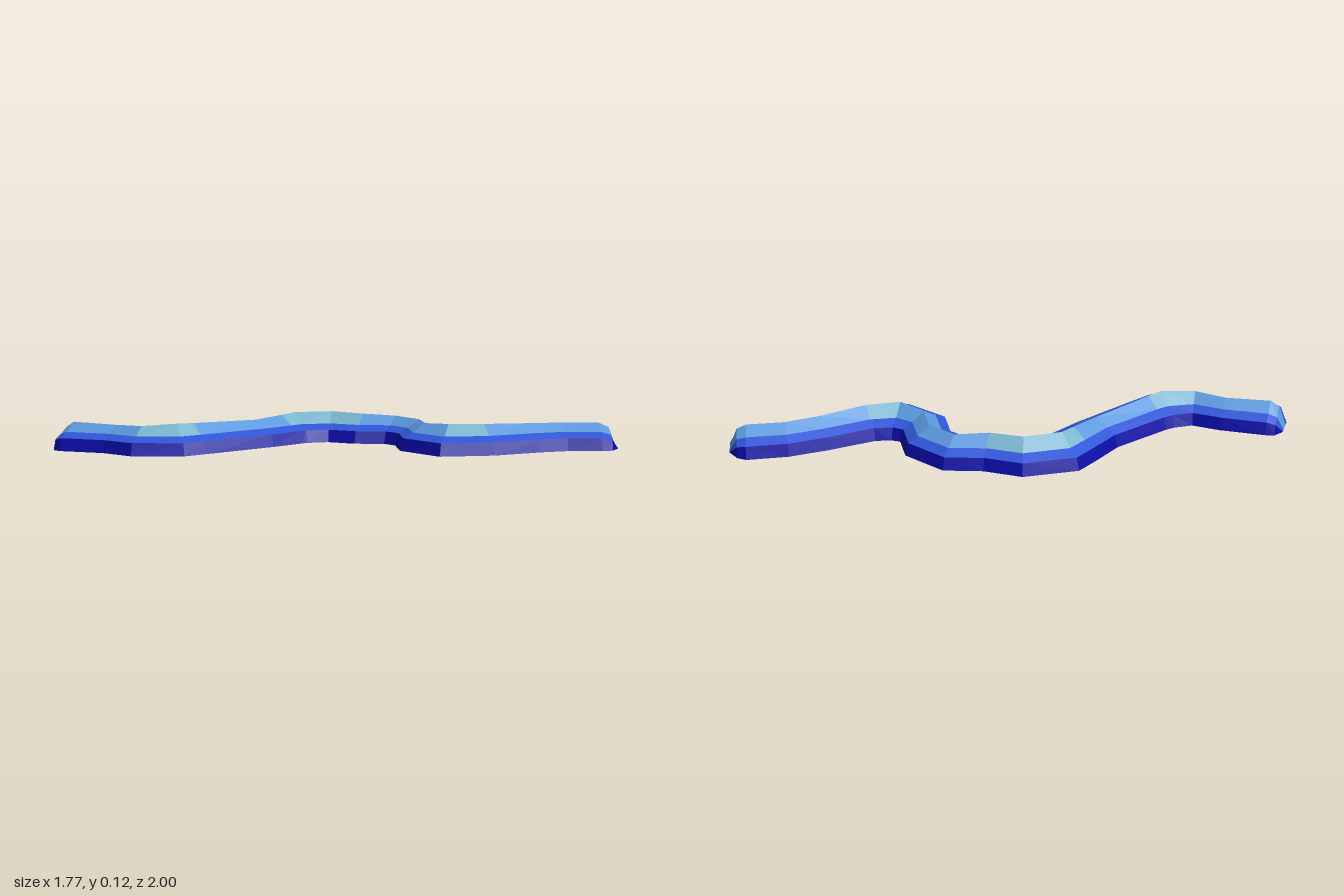
import * as THREE from 'three';

// Stations along the winding ridge: left x, left z, right x, right z, crest height
const stations = [
  [-0.82, -0.97, -0.72, -1.0, 0],
  [-0.885, -0.91, -0.665, -0.985, 0.09],
  [-0.887, -0.868, -0.645, -0.95, 0.115],
  [-0.8, -0.68, -0.575, -0.76, 0.11],
  [-0.78, -0.52, -0.545, -0.63, 0.115],
  [-0.63, -0.34, -0.48, -0.575, 0.125],
  [-0.52, -0.31, -0.44, -0.555, 0.122],
  [-0.18, -0.224, -0.16, -0.467, 0.112],
  [-0.03, -0.195, 0, -0.46, 0.12],
  [0.005, -0.187, 0.13, -0.45, 0.125],
  [0.084, -0.13, 0.317, -0.283, 0.125],
  [0.127, -0.008, 0.37, -0.113, 0.122],
  [0.21, 0.098, 0.464, 0.034, 0.114],
  [0.206, 0.166, 0.443, 0.256, 0.112],
  [0.1, 0.277, 0.348, 0.361, 0.115],
  [0.084, 0.51, 0.36, 0.4, 0.124],
  [0.264, 0.673, 0.406, 0.456, 0.122],
  [0.47, 0.778, 0.596, 0.567, 0.114],
  [0.58, 0.852, 0.744, 0.667, 0.111],
  [0.675, 0.968, 0.876, 0.8, 0.11],
  [0.72, 0.995, 0.885, 0.845, 0.09],
  [0.79, 0.98, 0.865, 0.91, 0],
];

// Cross-section: fraction across from left to right, height (null = crest)
const profile = [[0, 0], [0.07, 0.055], [0.26, 0.077], [0.5, null], [0.74, 0.077], [0.93, 0.055], [1, 0]];

// Segments whose crest is high enough for the palest colour
const highSegments = new Set([4, 5, 8, 9, 10, 15]);

function sectionPoint(i, j) {
  const [lx, lz, rx, rz, crest] = stations[i];
  const [t, h] = profile[j];
  const y = h === null ? crest : h * Math.min(1, crest / 0.11);
  return [lx + (rx - lx) * t, y, lz + (rz - lz) * t];
}

export function createModel() {
  const group = new THREE.Group();
  group.name = 'windingRidge';
  const material = (name, color) => {
    const m = new THREE.MeshStandardMaterial({ color, flatShading: true });
    m.name = name;
    return m;
  };
  const parts = {
    lowerSlope: { mat: material('deepBlue', 0x0a0aa8), pos: [] },
    middleSlope: { mat: material('royalBlue', 0x2f55d6), pos: [] },
    upperSlope: { mat: material('skyBlue', 0x5a98dc), pos: [] },
    highCrest: { mat: material('paleTeal', 0x76b2cc), pos: [] },
  };
  const bands = ['lowerSlope', 'middleSlope', 'upperSlope', 'upperSlope', 'middleSlope', 'lowerSlope', 'lowerSlope'];

  // Loft the bands; the last band closes the underside
  for (let i = 0; i < stations.length - 1; i++) {
    bands.forEach((band, j) => {
      const next = (j + 1) % profile.length;
      const a = sectionPoint(i, j), b = sectionPoint(i + 1, j);
      const c = sectionPoint(i + 1, next), d = sectionPoint(i, next);
      const key = band === 'upperSlope' && highSegments.has(i) ? 'highCrest' : band;
      // Split along the diagonal that keeps both sides of the crest alike
      const tris = j < 3 ? [a, b, c, a, c, d] : [a, b, d, b, c, d];
      parts[key].pos.push(...tris.flat());
    });
  }

  for (const [name, { mat, pos }] of Object.entries(parts)) {
    const geo = new THREE.BufferGeometry();
    geo.setAttribute('position', new THREE.Float32BufferAttribute(pos, 3));
    geo.computeVertexNormals();
    const mesh = new THREE.Mesh(geo, mat);
    mesh.name = name;
    group.add(mesh);
  }
  return group;
}
